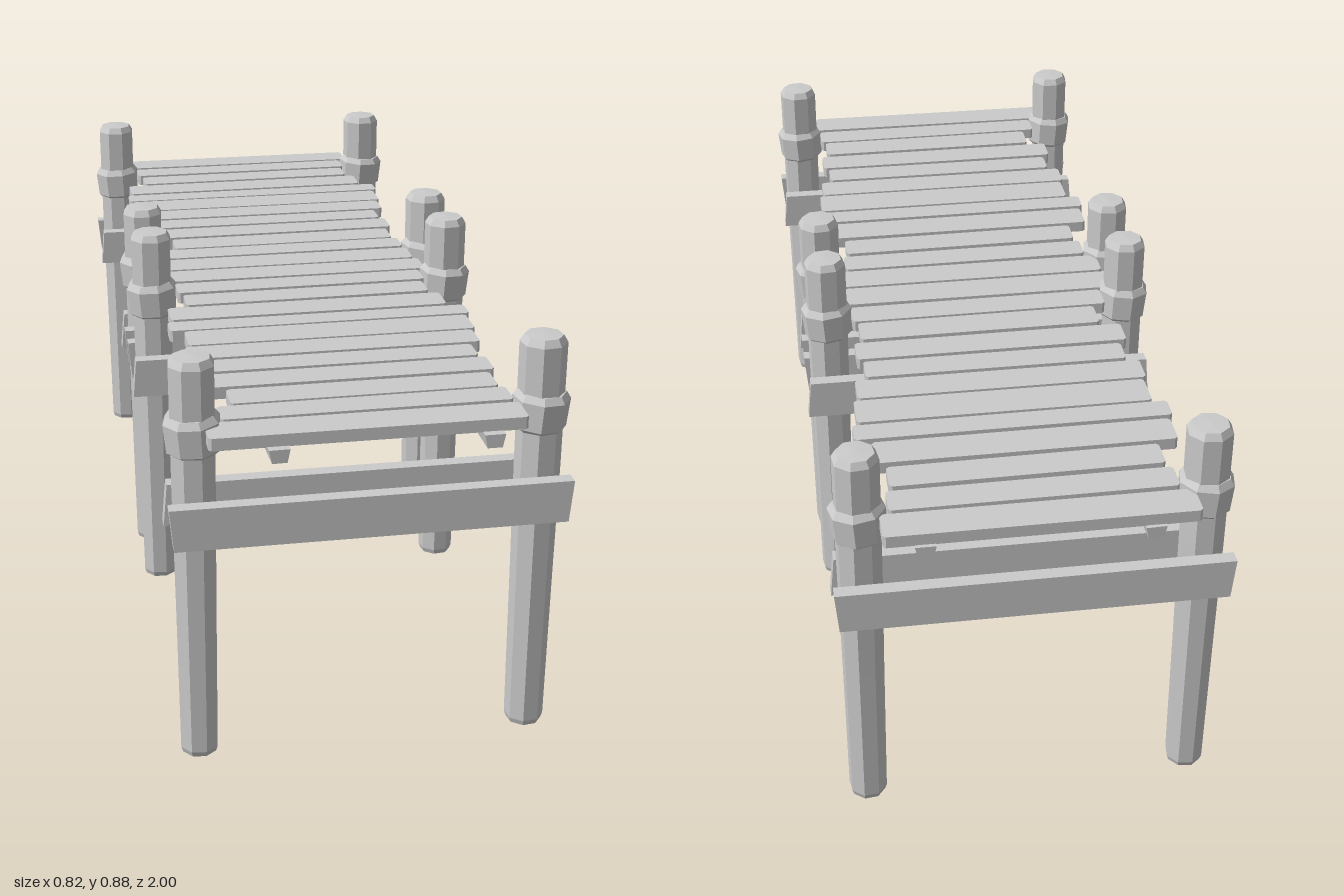
import * as THREE from 'three';

const material = new THREE.MeshStandardMaterial({ color: 0xcccccc, flatShading: true });

function add(parent, name, geometry, x = 0, y = 0, z = 0) {
  const mesh = new THREE.Mesh(geometry, material);
  mesh.name = name;
  mesh.position.set(x, y, z);
  parent.add(mesh);
  return mesh;
}

// faceted solid of revolution from [radius, y] pairs
function turned(profile, sides = 8) {
  return new THREE.LatheGeometry(profile.map(([r, y]) => new THREE.Vector2(r, y)), sides, Math.PI / 8);
}

// box whose vertices are moved by a rule
function shapedBox(w, h, d, rule) {
  const geometry = new THREE.BoxGeometry(w, h, d);
  const p = geometry.attributes.position;
  const v = new THREE.Vector3();
  for (let i = 0; i < p.count; i++) {
    rule(v.fromBufferAttribute(p, i));
    p.setXYZ(i, v.x, v.y, v.z);
  }
  geometry.computeVertexNormals();
  return geometry;
}

// plank with clipped corners, lying flat
function plankGeometry(w, d, skew) {
  const a = w / 2, b = d / 2, c = 0.006;
  const outline = [[-a + c, -b], [a - c, -b + skew], [a, -b + c + skew], [a, b - c],
    [a - c, b], [-a + c, b - skew], [-a, b - c - skew], [-a, -b + c]];
  const shape = new THREE.Shape(outline.map(([x, y]) => new THREE.Vector2(x, y)));
  const geometry = new THREE.ExtrudeGeometry(shape, { depth: 0.026, bevelEnabled: false });
  return geometry.rotateX(-Math.PI / 2);
}

const postGeometry = turned([[0, 0], [0.037, 0], [0.041, 0.012], [0.044, 0.35], [0.047, 0.6],
  [0.048, 0.865], [0.039, 0.88], [0, 0.882]]);
const collarGeometry = turned([[0.044, -0.044], [0.056, -0.034], [0.059, 0.026], [0.049, 0.04], [0.044, 0.04]]);

// planks of one section: left end, right end, rear edge, front edge, skew
const PLANKS = [
  [-0.32, 0.31, -0.99, -0.915, 0], [-0.295, 0.29, -0.905, -0.835, 0.004],
  [-0.285, 0.28, -0.825, -0.75, 0.006], [-0.33, 0.30, -0.74, -0.66, 0.003],
  [-0.34, 0.335, -0.65, -0.592, 0.003], [-0.31, 0.323, -0.585, -0.5, 0],
  [-0.318, 0.313, -0.492, -0.42, 0], [-0.292, 0.288, -0.408, -0.343, 0],
  [-0.31, 0.30, -0.332, -0.258, 0.003], [-0.265, 0.284, -0.247, -0.17, 0.003],
  [-0.295, 0.295, -0.165, -0.095, 0.004], [-0.33, 0.30, -0.085, -0.008, 0],
];

// two posts with collars and a cross board on each face; outer is +1 when its outside faces +z
function createBent(outer) {
  const bent = new THREE.Group();
  bent.name = 'postPair';
  for (const side of [-1, 1]) {
    const post = add(bent, 'post', postGeometry, side * 0.35);
    post.rotation.y = side * 0.12;
    const collar = add(bent, 'postCollar', collarGeometry, side * 0.35, 0.722);
    collar.rotation.set(0.03, side * 0.2, side * -0.06);
  }
  for (const face of [-1, 1]) {
    const flare = face === outer ? 0.09 : -0.09;
    const board = shapedBox(0.806, 0.09, 0.03, (v) => { v.x += Math.sign(v.x) * v.y * flare; });
    add(bent, 'crossBoard', board, 0, 0.545, face * 0.059);
  }
  return bent;
}

function createSection() {
  const section = new THREE.Group();
  section.name = 'dockSection';
  for (const end of [-1, 1]) {
    const bent = createBent(end);
    bent.position.z = end * 0.395;
    section.add(bent);
  }
  // deck planks
  PLANKS.forEach(([x0, x1, z0, z1, skew]) => {
    add(section, 'deckPlank', plankGeometry(x1 - x0, z1 - z0, skew),
      (x0 + x1) / 2, 0.719, (z0 + z1) / 2 + 0.4945);
  });
  // long beams below the deck, narrower underneath
  for (const [x, yaw] of [[-0.211, 0.03], [0.228, 0]]) {
    const beam = shapedBox(0.042, 0.028, 1.008, (v) => { if (v.y < 0) v.x *= 0.72; });
    add(section, 'deckBeam', beam, x, 0.706, 0).rotation.y = yaw;
  }
  return section;
}

export function createModel() {
  const model = new THREE.Group();
  model.name = 'dock';
  for (const end of [-1, 1]) {
    const section = createSection();
    section.position.z = end * 0.4955;
    model.add(section);
  }
  return model;
}
